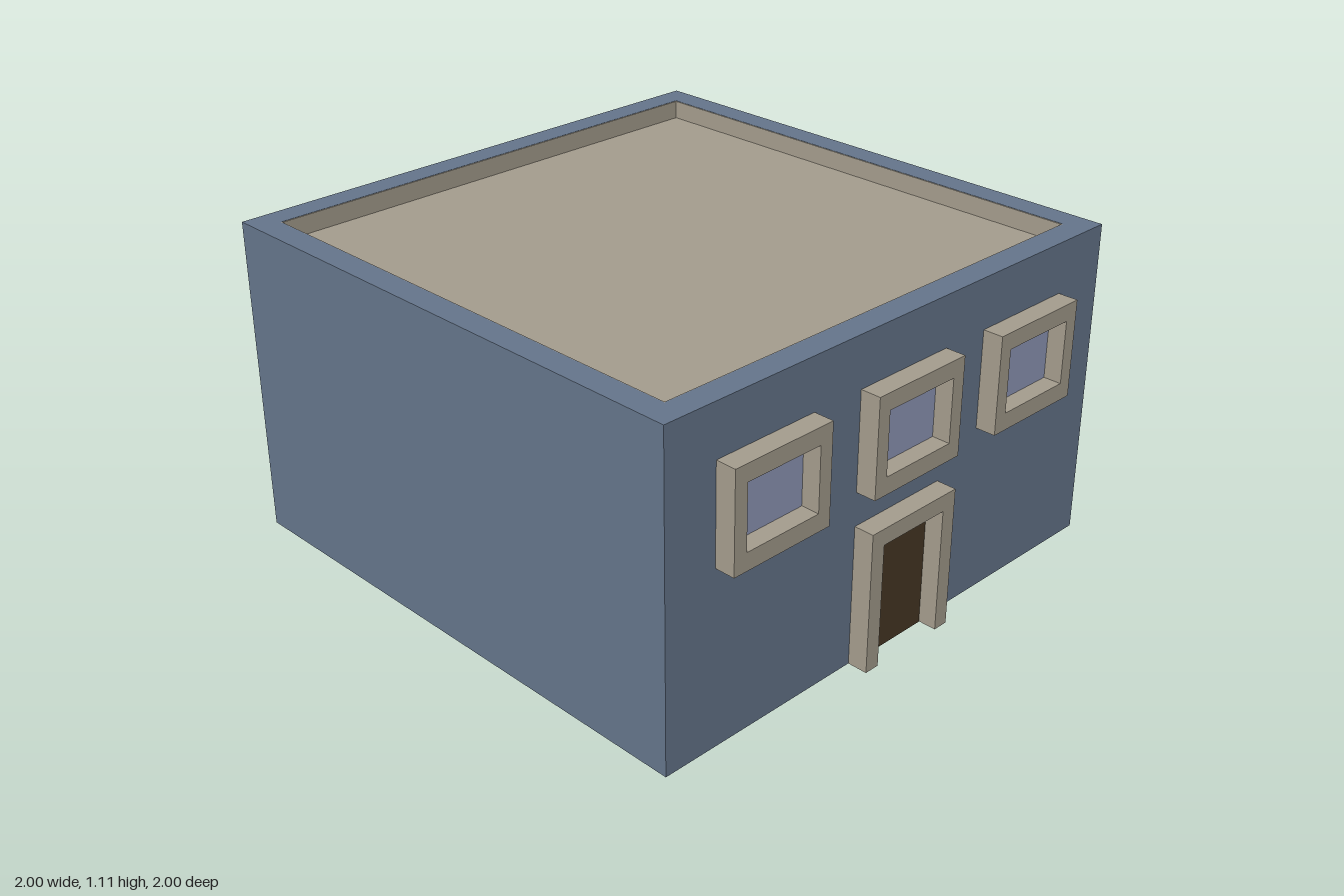
import * as THREE from 'three';

const H = 1.11, FLOOR = 1.045, WALL = 0.93, DEPTH = 0.07;

const mat = (name, color, side = THREE.FrontSide) => {
  const m = new THREE.MeshStandardMaterial({ color, side });
  m.name = name;
  return m;
};

// Closed rectangle path
function rect(Type, x0, y0, x1, y1) {
  const p = new Type();
  p.moveTo(x0, y0); p.lineTo(x1, y0); p.lineTo(x1, y1); p.lineTo(x0, y1); p.closePath();
  return p;
}

export function createModel() {
  const blue = mat('slate blue wall', 0x64748a);
  const beige = mat('beige trim', 0xa39b8c);
  const beigeThin = mat('beige sheet', 0xa39b8c, THREE.DoubleSide);
  const glass = mat('pale glass', 0x8e97b6);
  const wood = mat('dark wood', 0x463724);

  const model = new THREE.Group();
  const add = (parent, name, geo, material, x = 0, y = 0, z = 0) => {
    const m = new THREE.Mesh(geo, material);
    m.name = name;
    m.position.set(x, y, z);
    parent.add(m);
    return m;
  };

  // Main block and the parapet around the sunken roof
  const c = (WALL - 1) / 2, size = 1 + WALL, inner = 1.755;
  const h = size / 2, i = inner / 2;
  add(model, 'outerWalls', new THREE.BoxGeometry(size, FLOOR - 0.01, size), blue, c, (FLOOR - 0.01) / 2, c);
  const ring = rect(THREE.Shape, -h, -h, h, h);
  ring.holes.push(rect(THREE.Path, -i, -i, i, i));
  const parapet = new THREE.ExtrudeGeometry(ring, { depth: H - FLOOR + 0.01, bevelEnabled: false });
  parapet.rotateX(-Math.PI / 2);
  add(model, 'parapet', parapet, blue, c, FLOOR - 0.01, c);
  add(model, 'roofFloor', new THREE.BoxGeometry(inner, 0.01, inner), beige, c, FLOOR - 0.005, c);

  // Beige lining on the inside of the parapet
  for (let k = 0; k < 4; k++) {
    const side = new THREE.Group();
    side.name = 'parapetLining';
    side.position.set(c, 0, c);
    side.rotation.y = k * Math.PI / 2;
    add(side, 'liningPanel', new THREE.BoxGeometry(inner, H - FLOOR - 0.001, 0.004), beige,
      0, (H + FLOOR - 0.001) / 2, -i + 0.002);
    model.add(side);
  }

  // Wall groups: local +z points out of the wall
  const front = new THREE.Group(), left = new THREE.Group();
  front.name = 'frontOpenings';
  left.name = 'leftOpenings';
  left.rotation.y = Math.PI / 2;
  model.add(front, left);

  const frameGeo = shape => new THREE.ExtrudeGeometry(shape, { depth: DEPTH, bevelEnabled: false });
  const W = 0.1925, Y0 = 0.6, Y1 = 0.935;

  function pane(wall, x) {
    add(wall, 'windowGlass', new THREE.BoxGeometry(0.285, 0.215, 0.008), glass, x, 0.768, WALL + 0.004);
  }

  function windowUnit(wall, x) {
    const s = rect(THREE.Shape, -W, Y0, W, Y1);
    s.holes.push(rect(THREE.Path, -0.144, 0.66, 0.144, 0.877));
    add(wall, 'windowFrame', frameGeo(s), beige, x, 0, WALL);
    pane(wall, x);
  }

  function doorUnit(wall, x) {
    const s = new THREE.Shape();
    [[-W, 0], [-0.138, 0], [-0.138, 0.428], [0.138, 0.428], [0.138, 0], [W, 0], [W, 0.485], [-W, 0.485]]
      .forEach(([px, py], n) => (n ? s.lineTo(px, py) : s.moveTo(px, py)));
    add(wall, 'doorFrame', frameGeo(s), beige, x, 0, WALL);
    add(wall, 'doorPanel', new THREE.BoxGeometry(0.272, 0.426, 0.008), wood, x, 0.213, WALL + 0.004);
  }

  [-0.617, -0.035, 0.53].forEach(x => windowUnit(front, x));
  doorUnit(front, -0.035);
  doorUnit(left, 0.0375);

  // Side window: open box surround of thin sheets, with part of its backing showing
  const wx = 0.0425, wy = (Y0 + Y1) / 2, wz = WALL + DEPTH / 2;
  for (const s of [-1, 1]) {
    add(left, 'surroundSide', new THREE.PlaneGeometry(DEPTH, Y1 - Y0).rotateY(s * Math.PI / 2),
      beigeThin, wx + s * W, wy, wz);
    add(left, 'surroundSlab', new THREE.PlaneGeometry(2 * W, DEPTH).rotateX(-s * Math.PI / 2),
      beigeThin, wx, wy + s * (Y1 - Y0) / 2, wz);
  }
  const back = new THREE.Shape();
  [[0.035, 0.6], [0.235, 0.6], [0.235, 0.905], [0.21, 0.87], [0.18, 0.77], [0.18, 0.66], [0.035, 0.66]]
    .forEach(([px, py], n) => (n ? back.lineTo(px, py) : back.moveTo(px, py)));
  add(left, 'surroundBacking', new THREE.ShapeGeometry(back), beigeThin, 0, 0, WALL + 0.002);
  pane(left, 0.04);

  return model;
}
